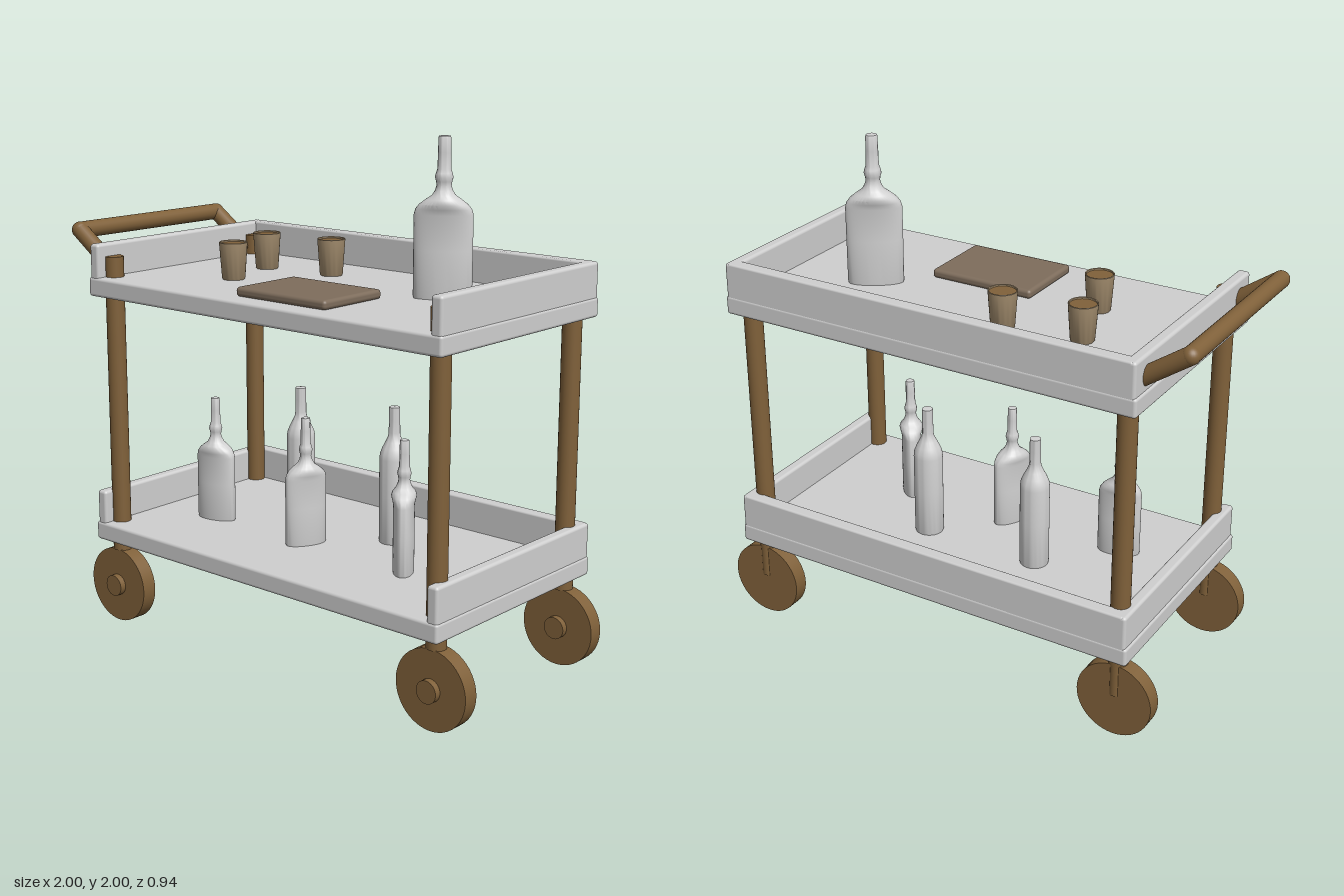
import * as THREE from 'three';
import { toCreasedNormals } from 'three/addons/utils/BufferGeometryUtils.js';
import { RoundedBoxGeometry } from 'three/addons/geometries/RoundedBoxGeometry.js';

export function createModel() {
  const model = new THREE.Group();
  model.name = 'servingCart';

  const paint = (name, color) => {
    const m = new THREE.MeshStandardMaterial({ color });
    m.name = name;
    return m;
  };
  const white = paint('paintedTray', 0xcfcfcf);
  const glass = paint('bottleGlass', 0xd2d2d2);
  const wood = paint('wood', 0x80613a);
  const tan = paint('cupTan', 0xa38d6e);
  const boardBrown = paint('boardBrown', 0x7e6d5c);

  const add = (name, geometry, material, x = 0, y = 0, z = 0, parent = model) => {
    const mesh = new THREE.Mesh(geometry, material);
    mesh.name = name;
    mesh.position.set(x, y, z);
    parent.add(mesh);
    return mesh;
  };
  // Rounded box given by its min and max on each axis
  const slab = (name, [x0, x1], [y0, y1], [z0, z1], r, material, parent) =>
    add(name, new RoundedBoxGeometry(x1 - x0, y1 - y0, z1 - z0, 3, r), material,
      (x0 + x1) / 2, (y0 + y1) / 2, (z0 + z1) / 2, parent);
  // Round bar between two points
  const bar = (name, a, b, r, material) => {
    const p = new THREE.Vector3(...a), q = new THREE.Vector3(...b);
    const mid = p.clone().add(q).multiplyScalar(0.5);
    const mesh = add(name, new THREE.CylinderGeometry(r, r, p.distanceTo(q), 24), material, mid.x, mid.y, mid.z);
    mesh.quaternion.setFromUnitVectors(new THREE.Vector3(0, 1, 0), q.sub(p).normalize());
    return mesh;
  };

  // Trays: floor slab with a back wall and two end walls, open at the front
  for (const [name, y] of [['lowerTray', 0.345], ['upperTray', 1.34]]) {
    const tray = new THREE.Group();
    tray.name = name;
    model.add(tray);
    slab('trayFloor', [-0.82, 0.907], [y, y + 0.075], [-0.472, 0.472], 0.012, white, tray);
    const wallY = [y + 0.055, y + 0.205];
    slab('backWall', [-0.8, 0.89], wallY, [-0.47, -0.418], 0.008, white, tray);
    slab('endWall', [-0.813, -0.766], wallY, [-0.47, 0.468], 0.012, white, tray);
    slab('endWall', [0.856, 0.903], wallY, [-0.47, 0.468], 0.012, white, tray);
  }

  // Posts, wheels and hubs at the four corners
  for (const x of [-0.753, 0.847]) {
    for (const z of [-0.391, 0.395]) {
      bar('post', [x, 0.3, z], [x, 1.495, z], 0.037, wood);
      bar('wheelStem', [x, 0.17, z - 0.01], [x, 0.32, z - 0.01], 0.027, wood);
      bar('wheel', [x, 0.152, z - 0.031], [x, 0.152, z + 0.031], 0.15, wood).geometry =
        new THREE.CylinderGeometry(0.152, 0.152, 0.062, 48);
      bar('hub', [x, 0.152, z], [x, 0.152, z + 0.056], 0.043, wood);
    }
  }

  // Push handle
  const gripX = -0.966, gripY = 1.575, armZ = 0.38;
  for (const s of [-1, 1]) {
    bar('handleArm', [gripX, gripY, s * armZ], [-0.76, 1.432, s * armZ], 0.033, wood);
    add('handleElbow', new THREE.SphereGeometry(0.0335, 24, 16), wood, gripX, gripY, s * armZ);
  }
  bar('handleGrip', [gripX, gripY, -armZ], [gripX, gripY, armZ], 0.033, wood);

  // Bottles: lathe whose body is squashed along z while the neck stays round
  const bottle = (profile, height, radius, flatness, shoulder, neck) => {
    const points = profile.map(([r, t]) => new THREE.Vector2(r * radius, t * height));
    const geometry = new THREE.LatheGeometry(points, 40);
    const pos = geometry.attributes.position;
    for (let i = 0; i < pos.count; i++) {
      const k = THREE.MathUtils.smoothstep(pos.getY(i) / height, shoulder, neck);
      pos.setZ(i, pos.getZ(i) * THREE.MathUtils.lerp(flatness, 1, k));
    }
    return toCreasedNormals(geometry, 0.7);
  };
  const flaskProfile = [[0, 0], [0.97, 0], [1, 0.015], [1, 0.3], [1, 0.52], [0.95, 0.555], [0.82, 0.585],
    [0.6, 0.615], [0.4, 0.64], [0.3, 0.67], [0.25, 0.7], [0.27, 0.725], [0.31, 0.75], [0.28, 0.775],
    [0.23, 0.8], [0.22, 0.9], [0.21, 0.99], [0.19, 1], [0, 1]];
  const wineProfile = [[0, 0], [0.96, 0], [1, 0.015], [1, 0.35], [1, 0.62], [0.95, 0.66], [0.8, 0.7],
    [0.58, 0.745], [0.43, 0.78], [0.39, 0.81], [0.38, 0.9], [0.37, 0.995], [0, 1]];
  const place = (name, geometry, x, y, z, degrees) => {
    add(name, geometry, glass, x, y, z).rotation.y = THREE.MathUtils.degToRad(degrees);
  };
  place('tallFlask', bottle(flaskProfile, 0.585, 0.1075, 0.38, 0.52, 0.67), 0.497, 1.415, -0.068, 33.5);
  const flask = bottle(flaskProfile, 0.5, 0.0845, 0.47, 0.52, 0.67);
  place('flask', flask, -0.484, 0.42, 0.122, 13);
  place('flask', flask, 0, 0.42, 0.122, 66);
  place('flask', flask, 0.482, 0.42, 0.122, -54.5);
  const wine = bottle(wineProfile, 0.54, 0.057, 1, 0.62, 0.78);
  for (const x of [-0.241, 0.241]) place('roundBottle', wine, x, 0.42, -0.118, 0);

  // Cups with a dark filled top
  const cupShape = [[0, 0], [0.042, 0], [0.045, 0.005], [0.055, 0.143], [0.053, 0.145], [0.05, 0.143], [0.049, 0.13]]
    .map(([r, y]) => new THREE.Vector2(r, y));
  const cupGeometry = toCreasedNormals(new THREE.LatheGeometry(cupShape, 32), 0.7);
  for (const [x, z] of [[-0.44, -0.14], [-0.362, 0.132], [-0.137, -0.184]]) {
    add('cup', cupGeometry, tan, x, 1.415, z);
    add('cupFilling', new THREE.CylinderGeometry(0.0495, 0.0495, 0.008, 32), wood, x, 1.549, z);
  }

  // Serving board
  slab('servingBoard', [-0.098, 0.336], [1.414, 1.45], [0.08, 0.395], 0.014, boardBrown);

  return model;
}
